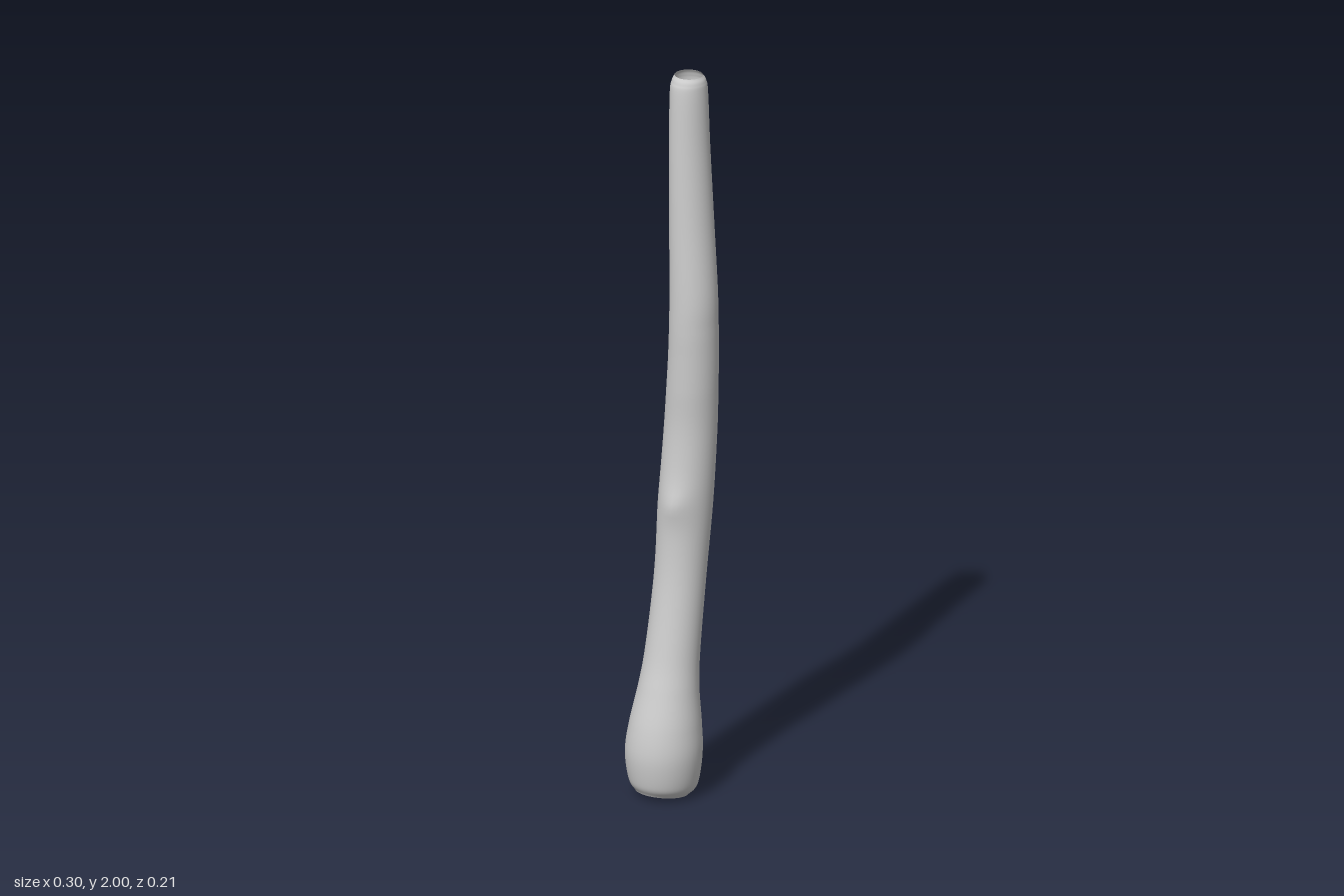
import * as THREE from 'three';

// Stick outline: height, min x, max x, min z, max z
const KEYS = [
  [0.01, -0.125, 0.02, -0.065, 0.07],
  [0.04, -0.14, 0.045, -0.09, 0.092],
  [0.12, -0.148, 0.058, -0.103, 0.103],
  [0.2, -0.137, 0.057, -0.096, 0.096],
  [0.3, -0.108, 0.055, -0.086, 0.077],
  [0.4, -0.082, 0.065, -0.085, 0.062],
  [0.6, -0.047, 0.093, -0.092, 0.047],
  [0.8, -0.032, 0.117, -0.096, 0.045],
  [1.0, -0.013, 0.13, -0.097, 0.045],
  [1.13, -0.011, 0.128, -0.085, 0.051],
  [1.22, -0.01, 0.126, -0.077, 0.054],
  [1.3, -0.01, 0.123, -0.072, 0.056],
  [1.4, -0.008, 0.121, -0.072, 0.055],
  [1.6, -0.004, 0.118, -0.075, 0.037],
  [1.8, 0, 0.113, -0.078, 0.023],
  [1.95, 0.005, 0.109, -0.08, 0.017],
  [1.985, 0.012, 0.104, -0.078, 0.013],
  [2.0, 0.021, 0.095, -0.072, 0.005],
];

// Twig stubs: height, direction angle, length, spread in height, spread around
const KNOTS = [
  { y: 1.25, angle: Math.atan2(-0.083, 0.085), length: 0.055, up: 0.04, around: 0.032 },
  { y: 0.81, angle: Math.atan2(0.5, -0.8), length: 0.014, up: 0.05, around: 0.04 },
];

const SIDES = 36;
const ROWS = 170;

const curveThrough = (pick) => new THREE.CatmullRomCurve3(KEYS.map(pick), false, 'catmullrom', 0.5);

// Outward swelling of the bark caused by the stubs
function knotOffset(y, angle, radius) {
  let sum = 0;
  for (const k of KNOTS) {
    let da = angle - k.angle;
    da = Math.atan2(Math.sin(da), Math.cos(da));
    const d = Math.hypot((y - k.y) / k.up, (da * radius) / k.around);
    sum += k.length * Math.exp(0.25 - Math.sqrt(d * d + 0.0625)) * Math.exp(-0.3 * d * d);
  }
  return sum;
}

function stickGeometry() {
  const centre = curveThrough(([y, x0, x1, z0, z1]) => new THREE.Vector3((x0 + x1) / 2, y, (z0 + z1) / 2));
  const radii = curveThrough(([y, x0, x1, z0, z1]) => new THREE.Vector3((x1 - x0) / 2, y, (z1 - z0) / 2));
  const geo = new THREE.CylinderGeometry(1, 1, 1, SIDES, ROWS, true);
  const pos = geo.attributes.position;
  for (let i = 0; i < pos.count; i++) {
    const t = THREE.MathUtils.clamp(pos.getY(i) + 0.5, 0, 1);
    const a = Math.atan2(pos.getZ(i), pos.getX(i));
    const c = centre.getPoint(t);
    const r = radii.getPoint(t);
    const bump = knotOffset(c.y, a, (r.x + r.z) / 2);
    const dx = Math.cos(a) * (r.x + bump);
    const dz = Math.sin(a) * (r.z + bump);
    // the cut at the foot slopes down towards +x
    const slope = -0.13 * dx * Math.max(0, 1 - c.y / 0.15);
    pos.setXYZ(i, c.x + dx, c.y + slope, c.z + dz);
  }
  geo.computeVertexNormals();
  // match normals across the seam
  const n = geo.attributes.normal;
  for (let row = 0; row <= ROWS; row++) {
    const a = row * (SIDES + 1), b = a + SIDES;
    const v = new THREE.Vector3().fromBufferAttribute(n, a)
      .add(new THREE.Vector3().fromBufferAttribute(n, b)).normalize();
    n.setXYZ(a, v.x, v.y, v.z);
    n.setXYZ(b, v.x, v.y, v.z);
  }
  return geo;
}

export function createModel() {
  const group = new THREE.Group();
  group.name = 'stick';
  // Hollow shell, open at both ends
  const bark = new THREE.Mesh(
    stickGeometry(),
    new THREE.MeshStandardMaterial({ color: 0xcccccc, side: THREE.DoubleSide })
  );
  bark.name = 'bark';
  group.add(bark);
  return group;
}
